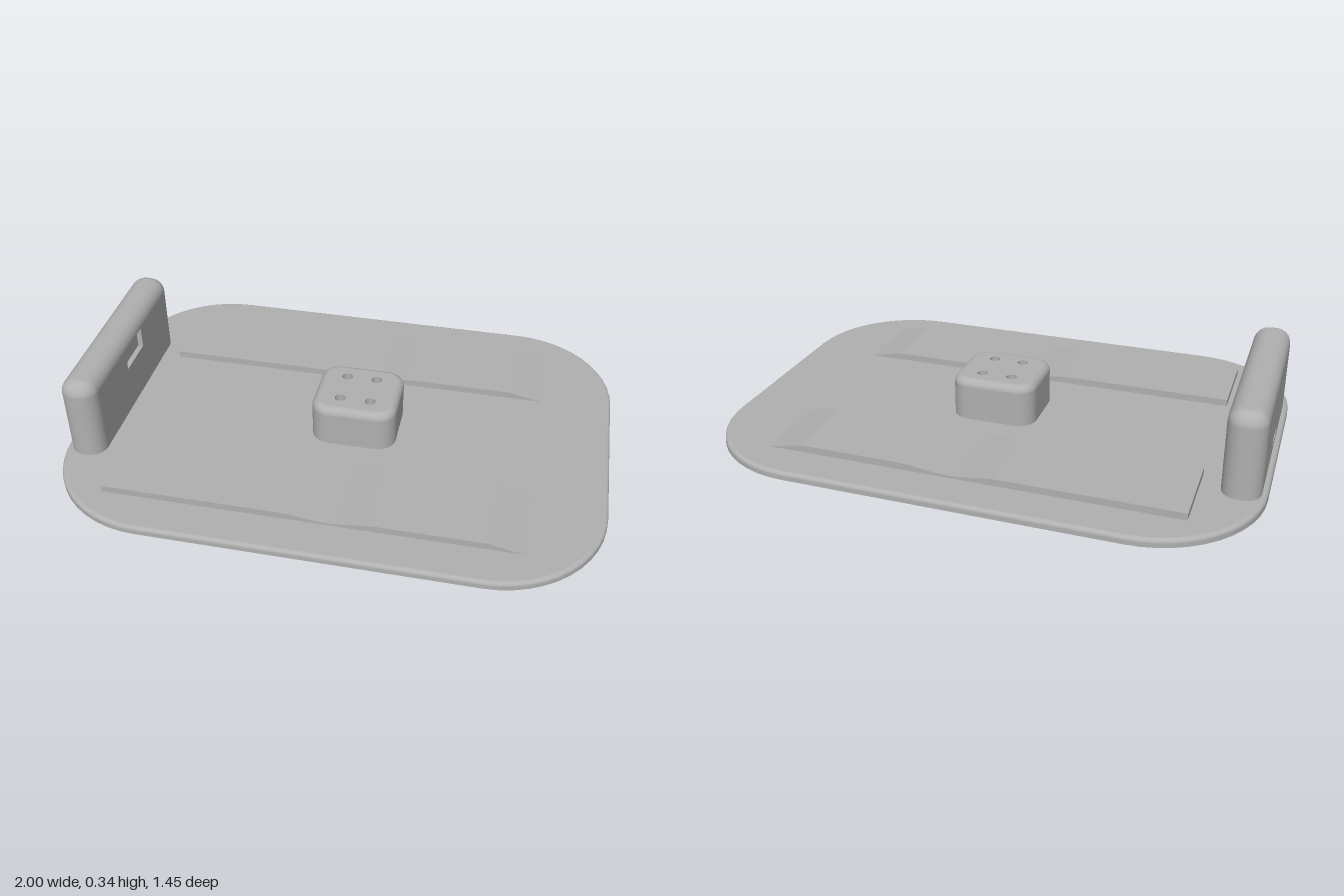
import * as THREE from 'three';

const SEG = 12;

// Outline of a rounded rectangle in x/z, with outward directions
function outline(w, d, r, inset = 0) {
  const pts = [];
  for (let k = 0; k < 4; k++) {
    const cx = (k === 0 || k === 3 ? 1 : -1) * (w / 2 - r);
    const cz = (k < 2 ? 1 : -1) * (d / 2 - r);
    for (let i = 0; i <= SEG; i++) {
      const a = (k + i / SEG) * Math.PI / 2, c = Math.cos(a), s = Math.sin(a);
      pts.push({ x: cx + c * (r - inset), z: cz + s * (r - inset), c, s });
    }
  }
  return pts;
}

// Upright walls plus a rolled top edge; the flat x sides may be left open
function filletedSides(w, d, h, r, f, openX) {
  const rings = [[0, 0, 0]];
  for (let j = 0; j <= 6; j++) {
    const t = j / 6 * Math.PI / 2;
    rings.push([f * (1 - Math.cos(t)), h - f + f * Math.sin(t), t]);
  }
  const pos = [], nor = [], idx = [], n = 4 * (SEG + 1);
  for (const [inset, y, t] of rings) {
    for (const p of outline(w, d, r, inset)) {
      pos.push(p.x, y, p.z);
      nor.push(p.c * Math.cos(t), Math.sin(t), p.s * Math.cos(t));
    }
  }
  for (let j = 0; j < rings.length - 1; j++) {
    for (let i = 0; i < n; i++) {
      const flatX = i === 2 * SEG + 1 || i === n - 1;
      if (openX && j === 0 && flatX) continue;
      const a = j * n + i, b = j * n + (i + 1) % n;
      idx.push(a, a + n, b, b, a + n, b + n);
    }
  }
  const g = new THREE.BufferGeometry();
  g.setAttribute('position', new THREE.Float32BufferAttribute(pos, 3));
  g.setAttribute('normal', new THREE.Float32BufferAttribute(nor, 3));
  g.setIndex(idx);
  return g;
}

function capShape(w, d, r, inset) {
  return new THREE.Shape(outline(w, d, r, inset).map(p => new THREE.Vector2(p.x, p.z)));
}

function rectPath(Type, x0, y0, x1, y1) {
  return new Type([[x0, y0], [x1, y0], [x1, y1], [x0, y1]].map(p => new THREE.Vector2(...p)));
}

// Turns a geometry inside out so it reads as a cavity
function insideOut(g) {
  g.scale(-1, 1, 1);
  g.computeVertexNormals();
  return g;
}

export function createModel() {
  const model = new THREE.Group();
  const grey = new THREE.MeshStandardMaterial({ color: 0xb0b0b0 });
  grey.name = 'plain grey';

  const add = (parent, name, geometry, x = 0, y = 0, z = 0) => {
    const m = new THREE.Mesh(geometry, grey);
    m.name = name;
    m.position.set(x, y, z);
    parent.add(m);
    return m;
  };
  const group = (name, x, y) => {
    const g = new THREE.Group();
    g.name = name;
    g.position.set(x, y, 0);
    model.add(g);
    return g;
  };
  const top = 0.03;

  // Base plate
  const base = group('basePlate', 0, 0);
  add(base, 'baseEdge', filletedSides(2, 1.45, top, 0.4, 0.015));
  add(base, 'baseTop', new THREE.ShapeGeometry(capShape(2, 1.45, 0.4, 0.015)).rotateX(-Math.PI / 2), 0, top);
  add(base, 'baseBottom', new THREE.ShapeGeometry(capShape(2, 1.45, 0.4, 0)).rotateX(Math.PI / 2));

  // Two wheel tracks with a shallow dip and a sloped end
  const track = new THREE.Shape();
  track.moveTo(-0.775, top);
  track.lineTo(0.73, top);
  track.lineTo(0.6, 0.056);
  for (let i = 0; i <= 20; i++) {
    const t = i / 20;
    track.lineTo(0.23 - 0.37 * t, 0.056 - 0.0085 * (1 - Math.cos(t * Math.PI * 2)));
  }
  track.lineTo(-0.775, 0.056);
  track.closePath();
  for (const side of [1, -1]) {
    const g = new THREE.ExtrudeGeometry(track, { depth: 0.305, bevelEnabled: false });
    g.translate(0, 0, -0.1525);
    add(model, side > 0 ? 'frontTrack' : 'backTrack', g, 0, 0, side * 0.4225);
  }

  // Central block with four sockets in its top
  const bw = 0.32, bd = 0.295, bh = 0.16, br = 0.07, bf = 0.03;
  const block = group('centreBlock', 0.045, top);
  add(block, 'blockSides', filletedSides(bw, bd, bh, br, bf));
  const blockTop = capShape(bw, bd, br, bf);
  for (const x of [-0.057, 0.057]) {
    for (const z of [-0.068, 0.068]) {
      blockTop.holes.push(new THREE.Path().absarc(x, z, 0.02, 0, Math.PI * 2, true));
      const wall = insideOut(new THREE.CylinderGeometry(0.02, 0.02, 0.03, 24, 1, true));
      add(block, 'socketWall', wall, x, bh - 0.015, z);
      add(block, 'socketFloor', new THREE.CircleGeometry(0.02, 24).rotateX(-Math.PI / 2), x, bh - 0.03, z);
    }
  }
  add(block, 'blockTop', new THREE.ShapeGeometry(blockTop, 24).rotateX(-Math.PI / 2), 0, bh);

  // Upright housing with a window recess inside and a small port outside
  const ww = 0.135, wd = 0.8, wh = 0.312, wr = 0.06, wf = 0.052;
  const housing = group('uprightHousing', -0.912, top);
  add(housing, 'housingShell', filletedSides(ww, wd, wh, wr, wf, true));
  add(housing, 'housingTop', new THREE.ShapeGeometry(capShape(ww, wd, wr, wf)).rotateX(-Math.PI / 2), 0, wh);
  const recesses = [
    { name: 'window', side: 1, half: 0.08, y0: 0.175, y1: 0.258, depth: 0.02 },
    { name: 'port', side: -1, half: 0.055, y0: 0.025, y1: 0.06, depth: 0.03 },
  ];
  for (const { name, side, half, y0, y1, depth } of recesses) {
    const face = rectPath(THREE.Shape, -wd / 2 + wr, 0, wd / 2 - wr, wh - wf);
    face.holes.push(rectPath(THREE.Path, -half, y0, half, y1));
    add(housing, name + 'Face', new THREE.ShapeGeometry(face).rotateY(side * Math.PI / 2), side * ww / 2);
    const pocket = new THREE.BoxGeometry(depth, y1 - y0, half * 2);
    // The first six indices are the +x face, which the mirroring moves to -x
    const index = Array.from(pocket.index.array);
    pocket.setIndex(index.filter((_, i) => Math.floor(i / 6) !== (side > 0 ? 1 : 0)));
    add(housing, name + 'Recess', insideOut(pocket), side * (ww - depth) / 2, (y0 + y1) / 2);
  }

  return model;
}
